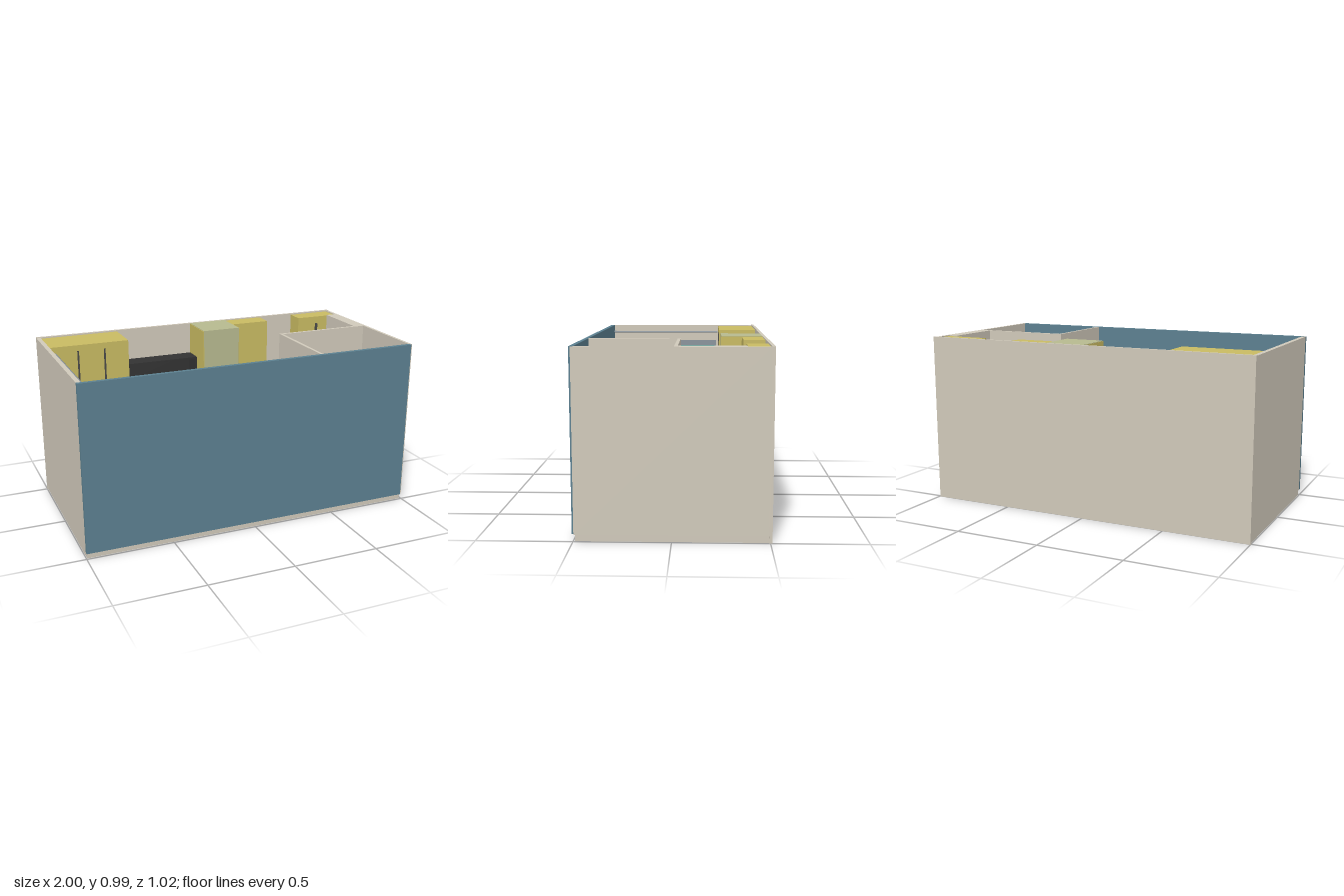
import * as THREE from 'three';

const mat = (color) => new THREE.MeshStandardMaterial({ color });

export function createModel() {
  const root = new THREE.Group();
  const M = {
    wall: mat(0xd0c9ba), blue: mat(0x5c8090), floor: mat(0x80735a), wood: mat(0xc8ba62),
    fridge: mat(0xb6b98f), dark: mat(0x333333), black: mat(0x0c0c0c), grey: mat(0xb2b2b2),
    glass: mat(0x0a8585), steel: mat(0x88929a), slot: mat(0x4a4a48),
  };
  const group = (name) => {
    const g = new THREE.Group();
    g.name = name;
    root.add(g);
    return g;
  };
  // Box given by its extents on each axis
  const box = (parent, name, m, x0, x1, y0, y1, z0, z1) => {
    const mesh = new THREE.Mesh(new THREE.BoxGeometry(x1 - x0, y1 - y0, z1 - z0), M[m]);
    mesh.position.set((x0 + x1) / 2, (y0 + y1) / 2, (z0 + z1) / 2);
    mesh.name = name;
    parent.add(mesh);
    return mesh;
  };
  const rod = (parent, name, m, r, length, x, y, z, axis) => {
    const mesh = new THREE.Mesh(new THREE.CylinderGeometry(r, r, length, 12), M[m]);
    if (axis === 'z') mesh.rotation.x = Math.PI / 2;
    mesh.position.set(x, y, z);
    mesh.name = name;
    parent.add(mesh);
  };
  const F = 0.04; // finished floor level
  const T = 0.99; // top of walls

  // Shell of the room
  const shell = group('shell');
  box(shell, 'base', 'wall', -0.995, 0.99, 0, 0.035, -0.5, 0.49);
  box(shell, 'floor', 'floor', -0.975, 0.98, 0.035, F, -0.49, 0.49);
  box(shell, 'backWall', 'wall', -1, 0.995, 0, 0.993, -0.51, -0.493);
  box(shell, 'frontWall', 'blue', -1, 0.985, 0.035, T, 0.485, 0.508);
  box(shell, 'rightEndWall', 'wall', -1, -0.975, 0.035, T, -0.493, 0.485);
  box(shell, 'leftEndWall', 'wall', 0.98, 0.997, 0.035, T, -0.493, 0.498);
  box(shell, 'entryWallLining', 'wall', 0.92, 0.98, F, T, -0.375, -0.03);

  // Small inner room in the corner
  const inner = group('innerRoom');
  box(inner, 'partitionSide', 'wall', 0.395, 0.412, F, T, -0.03, 0.485);
  box(inner, 'partitionBack', 'wall', 0.412, 0.98, F, T, -0.03, -0.012);

  // Entry door with its handle
  const door = group('entryDoor');
  box(door, 'doorPanel', 'wall', 0.917, 0.92, F, 0.82, -0.36, -0.06);
  box(door, 'doorHandle', 'slot', 0.905, 0.917, 0.4, 0.415, -0.14, -0.08);

  // Tall wardrobe with upright handles
  const wardrobe = group('wardrobe');
  box(wardrobe, 'wardrobeBody', 'wood', -0.972, -0.5, F, 0.985, -0.493, -0.256);
  for (const x of [-0.807, -0.647])
    box(wardrobe, 'wardrobeHandle', 'slot', x - 0.005, x + 0.005, 0.1, 0.95, -0.256, -0.253);

  // Counters: cupboard, worktop, door gaps
  const counter = (name, x0, x1, doors) => {
    const g = group(name);
    box(g, 'cupboard', 'wood', x0, x1, F, 0.36, -0.493, -0.262);
    box(g, 'worktop', 'grey', x0, x1, 0.36, 0.38, -0.493, -0.256);
    for (let i = 1; i < doors; i++) {
      const x = x0 + ((x1 - x0) * i) / doors;
      box(g, 'doorGap', 'slot', x - 0.002, x + 0.002, 0.06, 0.35, -0.262, -0.26);
    }
    return g;
  };
  counter('deskCounter', -0.5, -0.015, 2);
  const kitchen = counter('kitchenCounter', 0.235, 0.71, 3);

  // Cooktop with rings and knobs
  box(kitchen, 'cooktop', 'black', 0.553, 0.672, 0.38, 0.387, -0.468, -0.27);
  for (const z of [-0.42, -0.34]) rod(kitchen, 'cookingRing', 'dark', 0.032, 0.003, 0.612, 0.388, z, 'y');
  for (const x of [0.582, 0.652]) rod(kitchen, 'cooktopKnob', 'grey', 0.006, 0.008, x, 0.39, -0.288, 'y');

  // Open dark wall shelf
  const shelf = group('wallShelf');
  const s = 0.012;
  box(shelf, 'shelfTop', 'dark', -0.5, -0.015, 0.8 - s, 0.8, -0.493, -0.375);
  box(shelf, 'shelfBottom', 'dark', -0.5, -0.015, 0.645, 0.645 + s, -0.493, -0.375);
  box(shelf, 'shelfBack', 'dark', -0.5, -0.015, 0.645, 0.8, -0.493, -0.485);
  for (const x of [-0.5, -0.015 - s])
    box(shelf, 'shelfSide', 'dark', x, x + s, 0.645, 0.8, -0.493, -0.375);

  // Tall unit beside the kitchen, framed by wooden panels
  const tall = group('tallUnit');
  box(tall, 'tallBody', 'fridge', -0.012, 0.224, F, 0.993, -0.493, -0.258);
  box(tall, 'sidePanelA', 'wood', -0.016, -0.012, F, 0.99, -0.493, -0.255);
  box(tall, 'sidePanelB', 'wood', 0.224, 0.232, F, 0.99, -0.493, -0.255);
  box(tall, 'tallDoorGap', 'slot', -0.012, 0.224, 0.598, 0.602, -0.258, -0.257);

  // Kitchen wall cabinet
  const upper = group('wallCabinet');
  box(upper, 'cabinetBody', 'wood', 0.232, 0.478, 0.645, 0.988, -0.493, -0.375);

  // Slim closet by the entry
  const closet = group('entryCloset');
  box(closet, 'closetBody', 'wood', 0.71, 0.978, F, 0.985, -0.493, -0.38);
  box(closet, 'closetHandle', 'slot', 0.835, 0.847, 0.1, 0.94, -0.38, -0.367);

  // Sliding window: frame, two offset panes, curtain rod
  const win = group('slidingWindow');
  const z0 = -0.24, z1 = 0.33, zm = 0.05;
  const pane = (x, a, b) => {
    box(win, 'pane', 'glass', x + 0.003, x + 0.007, 0.06, 0.85, a, b);
    for (const z of [a, b - 0.01]) box(win, 'paneStile', 'steel', x, x + 0.01, F, 0.85, z, z + 0.01);
    for (const y of [F, 0.85]) box(win, 'paneRail', 'steel', x, x + 0.01, y, y + 0.02, a, b);
  };
  pane(-0.958, z0, zm);
  pane(-0.968, zm, z1);
  box(win, 'windowHead', 'steel', -0.975, -0.948, 0.87, 0.885, z0, z1);
  rod(win, 'curtainRod', 'steel', 0.006, 0.735, -0.942, 0.945, 0.1175, 'z');

  return root;
}
